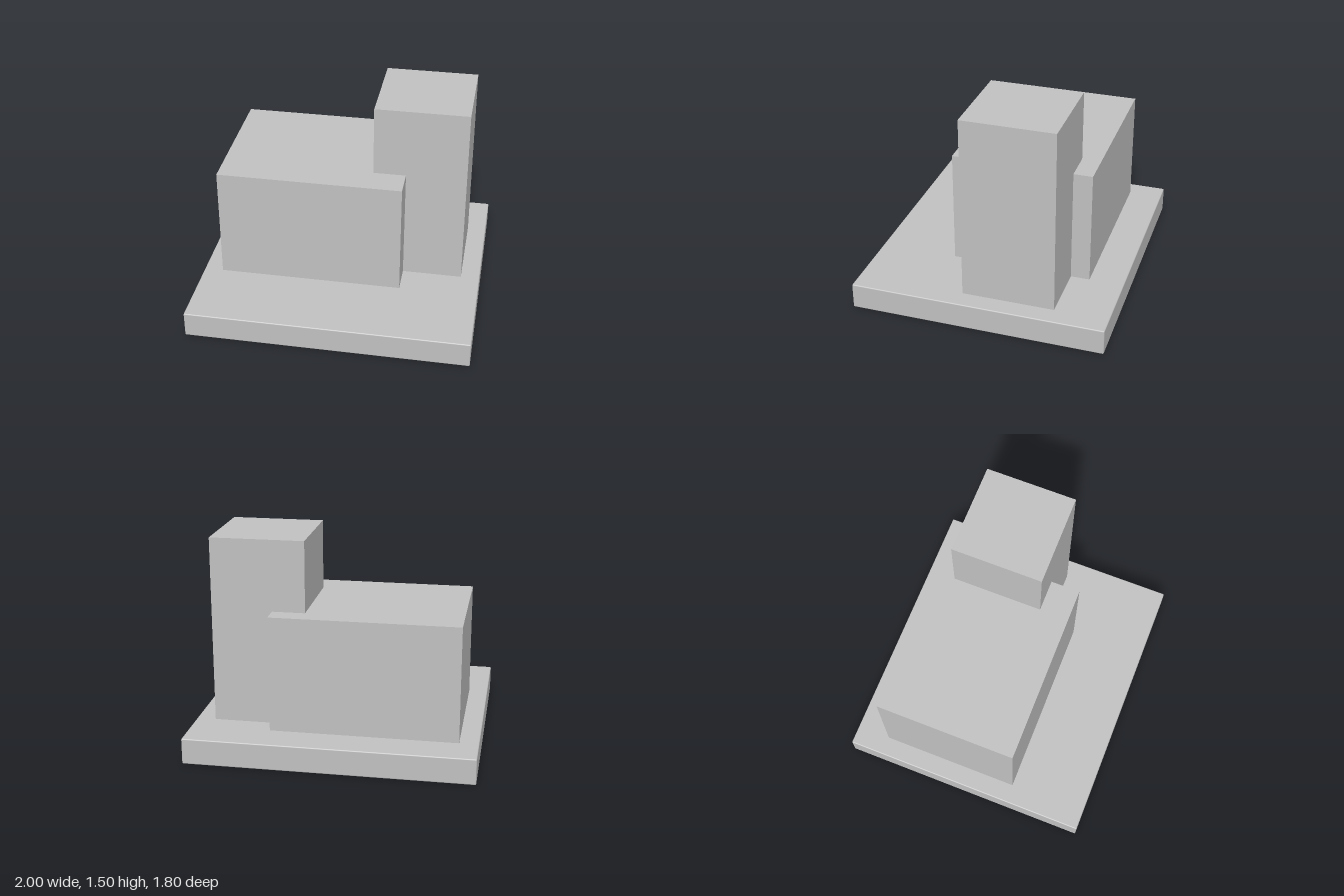
import * as THREE from 'three';
import { RoundedBoxGeometry } from 'three/addons/geometries/RoundedBoxGeometry.js';

const BASE_TOP = 0.184;

export function createModel() {
  const model = new THREE.Group();
  model.name = 'buildingMassing';
  const grey = new THREE.MeshStandardMaterial({ name: 'light grey', color: 0xc0c0c0 });

  // Ground slab with finely softened edges
  const base = new THREE.Mesh(new RoundedBoxGeometry(2, BASE_TOP, 1.8, 2, 0.008), grey);
  base.name = 'baseSlab';
  base.position.y = BASE_TOP / 2;
  model.add(base);

  // Sharp-edged block standing on the slab, given by its extents
  const addBlock = (name, x0, x1, top, z0, z1) => {
    const height = top - BASE_TOP;
    const block = new THREE.Mesh(new THREE.BoxGeometry(x1 - x0, height, z1 - z0), grey);
    block.name = name;
    block.position.set((x0 + x1) / 2, BASE_TOP + height / 2, (z0 + z1) / 2);
    model.add(block);
  };

  // Wide hall and the taller tower that cuts into its left side
  addBlock('hall', -0.865, 0.44, 1.0, -0.655, 0.345);
  addBlock('tower', 0.21, 0.865, 1.5, -0.52, 0.133);

  return model;
}
